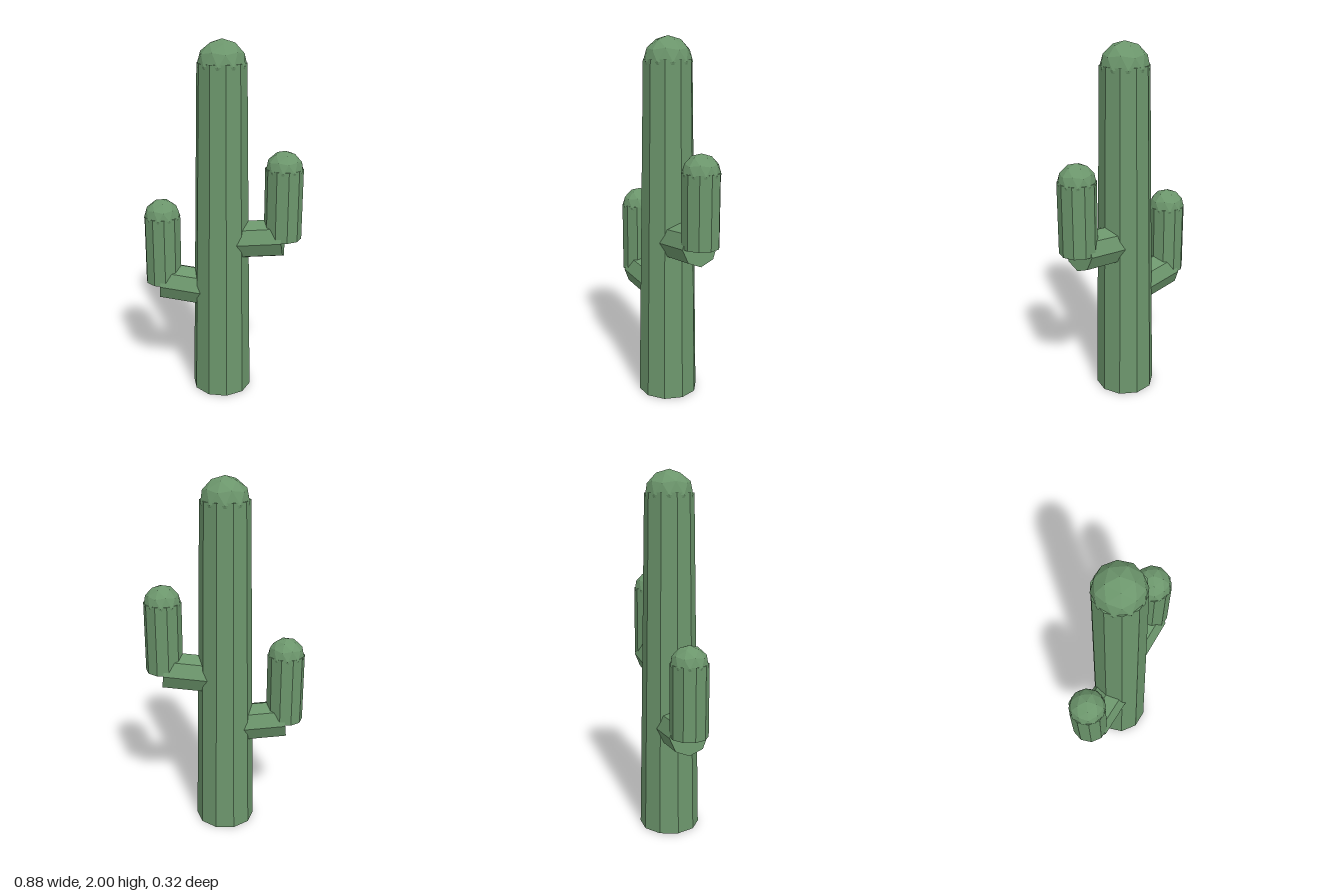
import * as THREE from 'three';

const green = new THREE.MeshStandardMaterial({ color: 0x6c966c });
green.name = 'cactusGreen';

// Faceted mesh: unshared corners give flat normals
function facet(name, geometry) {
  const g = geometry.index ? geometry.toNonIndexed() : geometry;
  g.computeVertexNormals();
  const mesh = new THREE.Mesh(g, green);
  mesh.name = name;
  return mesh;
}

// Upright ten-sided column with a corner on the x axis
function column(name, rTop, rBottom, y0, y1) {
  const g = new THREE.CylinderGeometry(rTop, rBottom, y1 - y0, 10);
  g.rotateY(Math.PI / 2).translate(0, (y0 + y1) / 2, 0);
  return facet(name, g);
}

// Low-poly ball with one corner pointing straight up
function dome(name, r, y) {
  const g = new THREE.IcosahedronGeometry(r, 1);
  g.rotateZ(-Math.atan(2 / (1 + Math.sqrt(5)))).translate(0, y, 0);
  return facet(name, g);
}

// Side arm: tilted octagonal branch, then an upright column with a dome
function arm(name, side, y) {
  const group = new THREE.Group();
  group.name = name;
  const reach = 0.338, tilt = 0.105;
  const length = reach / Math.cos(tilt);
  const g = new THREE.CylinderGeometry(0.107, 0.107, length, 8);
  g.translate(0, -length / 2, 0).rotateZ(side * (tilt - Math.PI / 2));
  const branch = facet('branch', g);
  const upright = column('upright', 0.103, 0.103, 0, 0.393);
  const tip = dome('armDome', 0.102, 0.386);
  for (const part of [branch, upright, tip]) {
    part.position.set(side * reach, y, 0);
    group.add(part);
  }
  return group;
}

export function createModel() {
  const model = new THREE.Group();
  model.name = 'cactus';
  model.add(
    column('trunk', 0.133, 0.168, 0, 1.88),
    dome('trunkDome', 0.132, 1.868),
    arm('leftArm', 1, 0.94),
    arm('rightArm', -1, 0.64)
  );
  return model;
}
